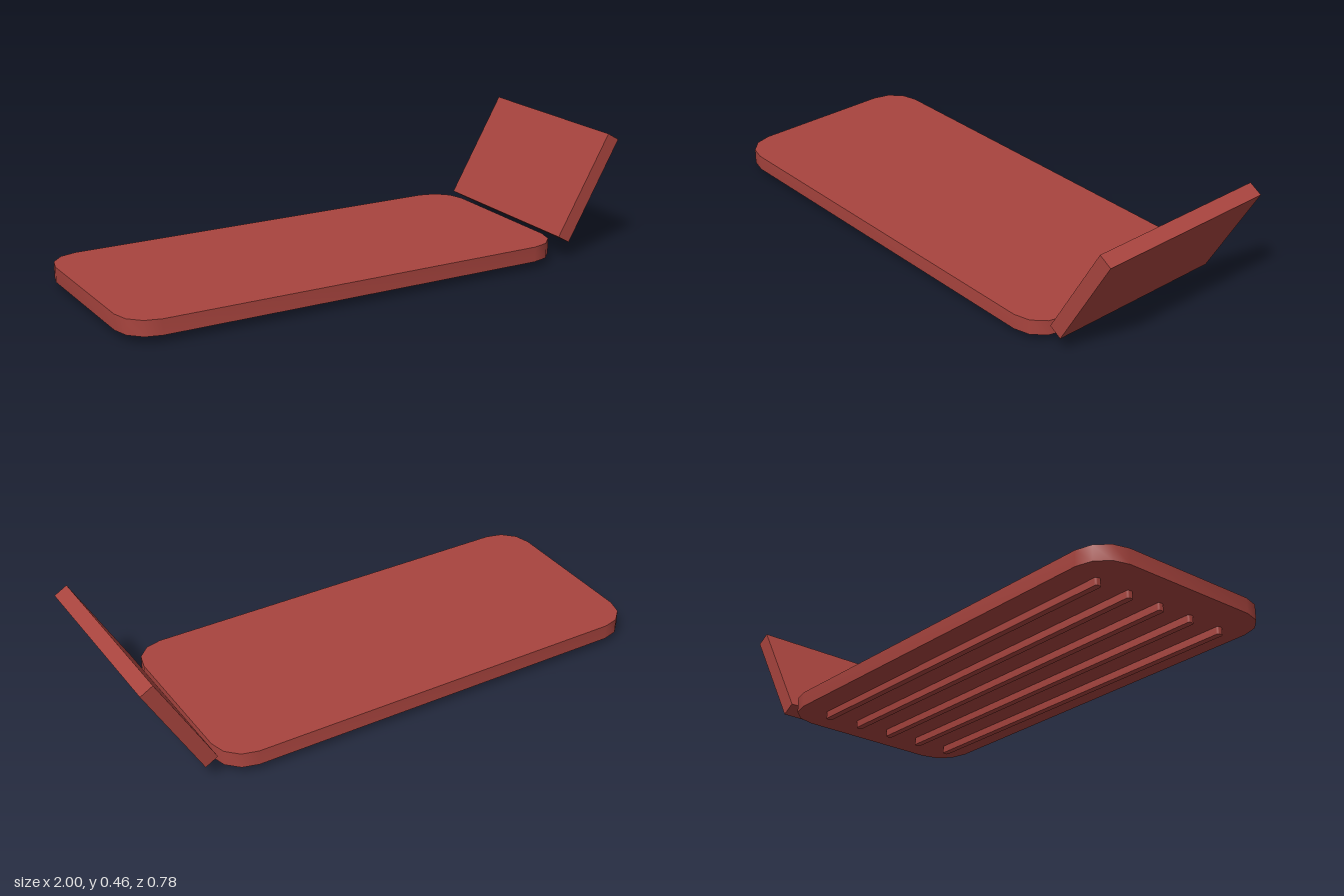
import * as THREE from 'three';
import { toCreasedNormals } from 'three/addons/utils/BufferGeometryUtils.js';

const red = new THREE.MeshStandardMaterial({ color: 0xa8443e });
red.name = 'brick red';

// Flat slab in the xz plane with rounded corners, its base at y = 0
function roundedSlab(length, width, height, radius, steps = 3) {
  const points = [];
  for (let corner = 0; corner < 4; corner++) {
    const sx = corner === 0 || corner === 3 ? 1 : -1;
    const sy = corner < 2 ? 1 : -1;
    for (let i = 0; i <= steps; i++) {
      const a = (corner + i / steps) * Math.PI / 2;
      points.push(new THREE.Vector2(
        sx * (length / 2 - radius) + radius * Math.cos(a),
        sy * (width / 2 - radius) + radius * Math.sin(a)));
    }
  }
  const geometry = new THREE.ExtrudeGeometry(new THREE.Shape(points), { depth: height, bevelEnabled: false });
  geometry.rotateX(-Math.PI / 2);
  return toCreasedNormals(geometry, 0.7);
}

function addPart(group, name, geometry, x, y, z) {
  const mesh = new THREE.Mesh(geometry, red);
  mesh.name = name;
  mesh.position.set(x, y, z);
  group.add(mesh);
  return mesh;
}

export function createModel() {
  const model = new THREE.Group();
  model.name = 'lounger';

  // Main slab
  addPart(model, 'deck', roundedSlab(1.724, 0.78, 0.057, 0.12), -0.138, 0.027, 0);

  // Five runners underneath
  const ribGeometry = roundedSlab(1.466, 0.024, 0.027, 0.008);
  for (let i = -2; i <= 2; i++) {
    addPart(model, 'rib' + (i + 3), ribGeometry, -0.138, 0, i * 0.14);
  }

  // Tilted head panel
  const panel = addPart(model, 'headPanel', new THREE.BoxGeometry(0.055, 0.426, 0.704), 0.87, 0.261, 0);
  panel.rotation.z = -Math.PI / 6;

  return model;
}
